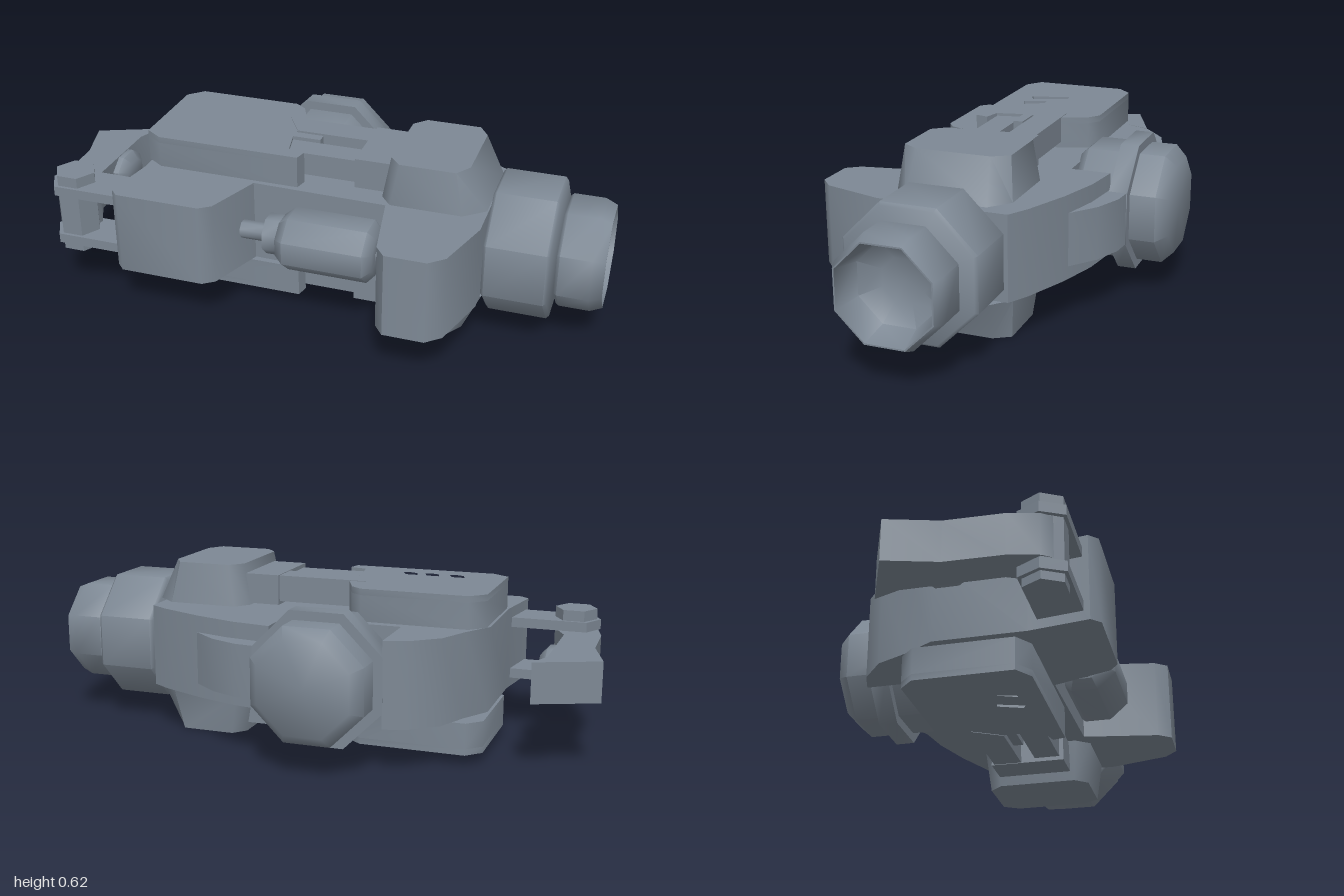
import * as THREE from 'three';
import { toCreasedNormals } from 'three/addons/utils/BufferGeometryUtils.js';

const steel = new THREE.MeshStandardMaterial({ color: 0x7d8894 });
steel.name = 'blue grey steel';
const MID = 0.31; // height of the symmetry plane
const OCT = 1 / Math.cos(Math.PI / 8); // flat-to-flat radius -> corner radius

export function createModel() {
  const model = new THREE.Group();
  model.name = 'blaster';

  const add = (name, geo, parent = model) => {
    const mesh = new THREE.Mesh(toCreasedNormals(geo, 0.9), steel);
    mesh.name = name;
    parent.add(mesh);
    return mesh;
  };

  // Plan outline [x, z] raised from y0 to y1, with optional slots
  const slab = (pts, y0, y1, holes = []) => {
    const flat = (list) => list.map(([x, z]) => new THREE.Vector2(x, -z));
    const shape = new THREE.Shape(flat(pts));
    shape.holes = holes.map((h) => new THREE.Path(flat(h)));
    const geo = new THREE.ExtrudeGeometry(shape, { depth: y1 - y0, bevelEnabled: false });
    return geo.rotateX(-Math.PI / 2).translate(0, y0, 0);
  };

  // Octagonal turned part, profile of [flat radius, length], axis +y
  const octagon = (profile) =>
    new THREE.LatheGeometry(profile.map(([r, l]) => new THREE.Vector2(r * OCT, l)), 8, Math.PI / 8);
  const alongX = (profile, y, z) => octagon(profile).rotateZ(-Math.PI / 2).translate(0, y, z);
  const alongZ = (profile, x, y) => octagon(profile).rotateX(Math.PI / 2).translate(x, y, 0);

  // Adds a part on the upper side and its reflection on the lower side
  const addPair = (name, geo) => {
    const upper = add('upper' + name, geo);
    const g = upper.geometry.clone();
    for (const key of ['position', 'normal']) {
      const a = g.attributes[key];
      const src = upper.geometry.attributes[key];
      const base = key === 'position' ? 2 * MID : 0;
      for (let i = 0; i < a.count; i++) {
        const j = i % 3 === 1 ? i + 1 : i % 3 === 2 ? i - 1 : i; // keeps faces outward
        a.setXYZ(i, src.getX(j), base - src.getY(j), src.getZ(j));
      }
    }
    const lower = new THREE.Mesh(g, steel);
    lower.name = 'lower' + name;
    model.add(lower);
  };

  // Main body with front grips and the arched rear shoulder
  add('body', slab([
    [-0.65, 0.41], [-0.62, 0.44], [-0.32, 0.44], [-0.28, 0.41], [-0.21, 0.21], [0.265, 0.22],
    [0.315, 0.49], [0.35, 0.535], [0.49, 0.535], [0.54, 0.49], [0.6, 0.28], [0.6, -0.17],
    [0.53, -0.21], [0.37, -0.275], [0.22, -0.32], [0.08, -0.34], [0.08, -0.2], [-0.34, -0.2],
    [-0.34, -0.41], [-0.42, -0.385], [-0.51, -0.31], [-0.56, -0.2], [-0.62, -0.1], [-0.62, 0.21],
  ], 0.165, 0.46));

  // Muzzle: wide collar and hollow tip
  add('muzzleCollar', alongX([
    [0, 0.612], [0.215, 0.612], [0.225, 0.622], [0.225, 0.82], [0.215, 0.83], [0, 0.83],
  ], MID, 0.06));
  add('muzzleTip', alongX([
    [0, 0.845], [0.17, 0.845], [0.178, 0.855], [0.178, 0.96], [0.162, 1], [0.157, 1],
    [0.135, 0.9], [0.07, 0.865], [0, 0.86],
  ], MID, 0.06));

  // Rear drum, its retaining ring and the strap that joins the body
  add('rearDrum', alongZ([
    [0, -0.54], [0.158, -0.54], [0.195, -0.5], [0.195, -0.225], [0.17, -0.195], [0, -0.195],
  ], -0.115, MID));
  add('drumRing', alongZ([
    [0.19, -0.41], [0.227, -0.41], [0.227, -0.345], [0.19, -0.345], [0.19, -0.41],
  ], -0.115, MID));
  add('drumStrap', slab([
    [0.08, -0.41], [0.18, -0.4], [0.28, -0.36], [0.37, -0.29], [0.24, -0.325], [0.08, -0.345],
  ], 0.22, 0.405));

  // Side canister on the front, with neck and rod
  const canister = alongX([
    [0, -0.08], [0.07, -0.08], [0.0975, -0.045], [0.0975, 0.235], [0.07, 0.262],
    [0.03, 0.262], [0.03, 0.28], [0, 0.28],
  ], 0, 0);
  add('canister', canister.scale(1, 1, 1.15).translate(0, MID, 0.28));
  add('canisterNeck', alongX([[0, -0.135], [0.066, -0.135], [0.066, -0.07], [0, -0.07]], MID, 0.272));
  add('canisterRod', alongX([[0, -0.23], [0.03, -0.23], [0.03, -0.13], [0, -0.13]], MID, 0.272));

  // Vented cover plates above and below
  const plate = [
    [-0.62, -0.16], [-0.57, -0.21], [-0.2, -0.21], [-0.16, -0.18], [-0.12, -0.09], [-0.12, 0.02],
    [-0.02, 0.02], [-0.02, 0.055], [-0.12, 0.055], [-0.1, 0.15], [-0.04, 0.165], [-0.05, 0.21],
    [-0.56, 0.21], [-0.62, 0.17],
  ];
  const slot = (x0, z0, x1, z1) =>
    [[x0, z0], [x0 + 0.03, z0], [x1 + 0.02, z1 - 0.01], [x1, z1], [x1 - 0.03, z1 - 0.01]];
  const slots = [slot(-0.53, -0.06, -0.44, 0.14), slot(-0.42, -0.02, -0.35, 0.14), slot(-0.33, 0.04, -0.27, 0.14)];
  addPair('CoverBase', slab(plate, 0.47, 0.56));
  addPair('CoverFace', slab(plate, 0.56, 0.582, slots));

  // Twin pistons with slanted ends, and their socket
  [[-0.09, 0.01], [0.06, 0.15]].forEach(([z0, z1], i) => {
    const x = -0.18 + i * 0.02;
    addPair('Piston' + (i + 1), slab([[x, z0], [0.16, z0], [0.16, z1], [x + 0.06, z1]], 0.492, 0.572 + 0.012 * (1 - i)));
  });
  addPair('PistonSocket', slab([[0.14, -0.1], [0.27, -0.1], [0.27, 0.165], [0.14, 0.165]], 0.48, 0.586));

  // Tapered shoulder blocks behind the muzzle
  const block = slab([
    [0.245, -0.11], [0.285, -0.16], [0.53, -0.16], [0.6, -0.1],
    [0.6, 0.18], [0.53, 0.24], [0.285, 0.24], [0.245, 0.19],
  ], 0.475, 0.62);
  const p = block.attributes.position;
  for (let i = 0; i < p.count; i++) {
    if (p.getY(i) < 0.6) continue;
    const x = p.getX(i);
    p.setX(i, x > 0.4 ? 0.535 - (0.6 - x) * 0.5 : x + 0.025);
    p.setZ(i, 0.04 + (p.getZ(i) - 0.04) * 0.92);
  }
  addPair('ShoulderBlock', block);

  // Clamp: two arms, hexagonal pivot and curved jaw
  const clamp = new THREE.Group();
  clamp.name = 'clamp';
  model.add(clamp);
  addPair('ClampArm', slab([
    [-0.6, 0.24], [-0.89, 0.24], [-0.93, 0.315], [-0.89, 0.39], [-0.6, 0.39],
  ], 0.387, 0.422));
  add('clampPivot', new THREE.CylinderGeometry(0.074, 0.074, 0.29, 6)
    .rotateY(Math.PI / 6).translate(-0.842, 0.315, 0.315), clamp);
  add('clampJaw', slab([
    [-0.92, 0.32], [-0.945, 0.22], [-0.95, 0.03], [-1, -0.14], [-0.785, -0.23], [-0.82, -0.14],
    [-0.82, 0.19], [-0.775, 0.28], [-0.8, 0.37], [-0.88, 0.37],
  ], 0.245, 0.385), clamp);
  add('jawPad', alongX([
    [0, -0.83], [0.09, -0.83], [0.09, -0.8], [0.055, -0.775], [0, -0.775],
  ], 0, 0).scale(1, 0.75, 1).translate(0, 0.315, 0.005), clamp);

  return model;
}
